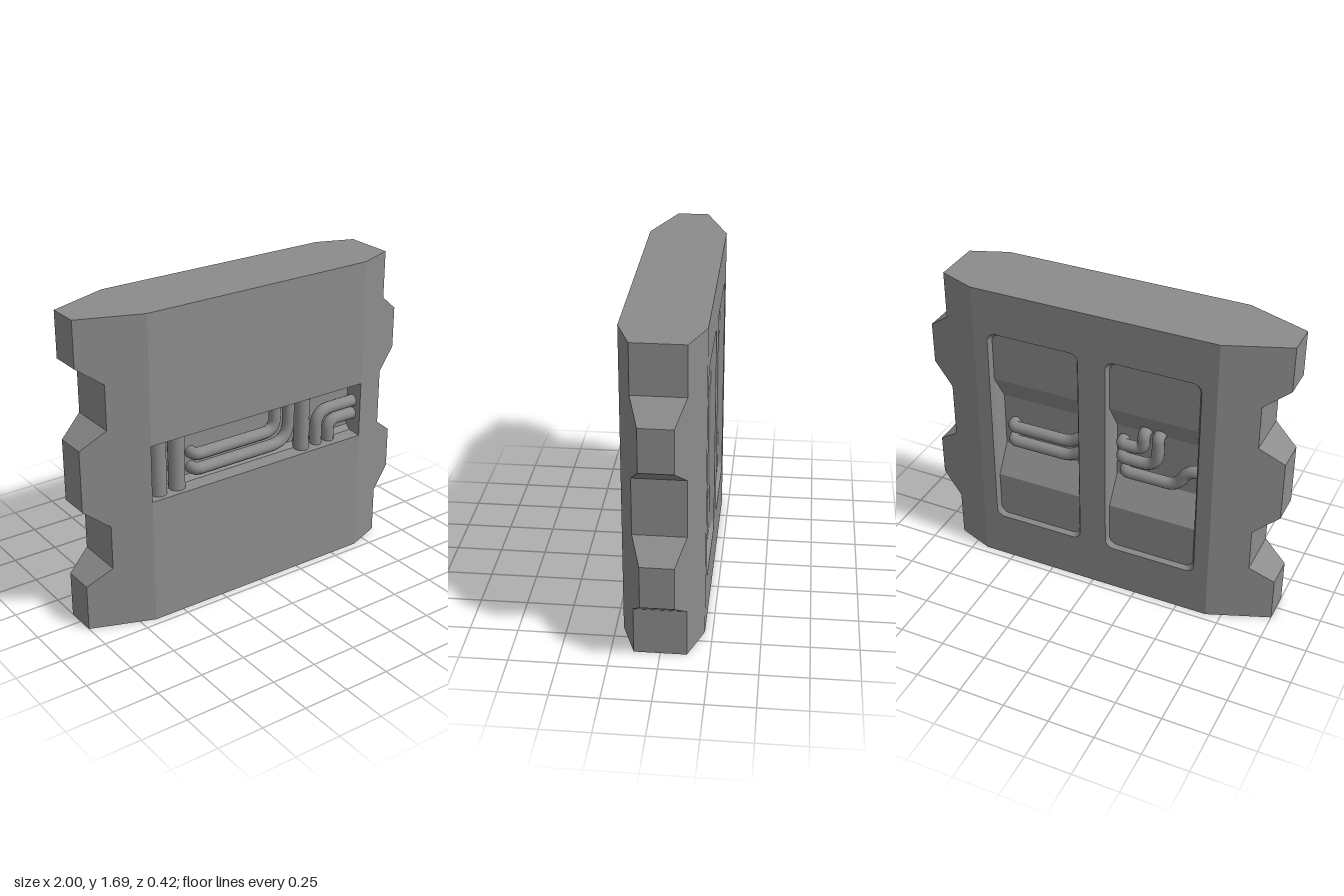
import * as THREE from 'three';

const H = 1.69, HALF = 0.21, FLAT = 0.67;

export function createModel() {
  const group = new THREE.Group();
  const grey = new THREE.MeshStandardMaterial({ color: 0x8c8c8c });
  grey.name = 'panel grey';

  const add = (name, geometry) => {
    const mesh = new THREE.Mesh(geometry, grey);
    mesh.name = name;
    group.add(mesh);
    return mesh;
  };
  const toShape = pts => new THREE.Shape(pts.map(p => new THREE.Vector2(p[0], p[1])));

  // Interlocking edges: outlines whose thickness tapers away from the flat centre
  const halfDepth = x => HALF - 0.379 * Math.max(0, Math.abs(x) - FLAT);
  function taperedEdge(name, pts) {
    const g = new THREE.ExtrudeGeometry(toShape(pts), { depth: 2, bevelEnabled: false });
    g.translate(0, 0, -1);
    const p = g.attributes.position;
    for (let i = 0; i < p.count; i++) p.setZ(i, p.getZ(i) * halfDepth(p.getX(i)));
    g.computeVertexNormals();
    add(name, g);
  }
  taperedEdge('tabbedEdge', [
    [FLAT, 0], [0.87, 0], [0.87, 0.26], [1, 0.36], [1, 0.59], [0.87, 0.69],
    [0.87, 1.0], [1, 1.1], [1, 1.33], [0.87, 1.43], [0.87, H], [FLAT, H]
  ]);
  taperedEdge('notchedEdge', [
    [-FLAT, H], [-1, H], [-1, 1.445], [-0.87, 1.35], [-0.87, 1.11], [-1, 1.015],
    [-1, 0.68], [-0.87, 0.58], [-0.87, 0.34], [-1, 0.25], [-1, 0], [-FLAT, 0]
  ]);

  // Centre block: z-y profiles swept along x, with a pipe slot in the front
  const BACK = -0.185;
  const front = [
    [HALF, 0], [HALF, 0.69], [0.13, 0.695], [0.1, 0.72],
    [0.1, 0.975], [0.13, 0.995], [HALF, 1.0], [HALF, H]
  ];
  const solidBack = [[BACK, H], [BACK, 0]];
  const recessBack = [
    [BACK, H], [BACK, 1.155], [-0.09, 1.0], [-0.09, 0.69], [BACK, 0.535], [BACK, 0]
  ];
  function section(name, x0, x1, back) {
    const shape = toShape([...front, ...back].map(([z, y]) => [-z, y]));
    const g = new THREE.ExtrudeGeometry(shape, { depth: x1 - x0, bevelEnabled: false });
    g.rotateY(Math.PI / 2);
    g.translate(x0, 0, 0);
    add(name, g);
  }
  const W0 = 0.09, W1 = 0.575;
  section('centreRib', -W0, W0, solidBack);
  for (const s of [-1, 1]) {
    const span = (a, b) => (s > 0 ? [a, b] : [-b, -a]);
    section('recessedBay', ...span(W0, W1), recessBack);
    section('sideRib', ...span(W1, FLAT), solidBack);
  }

  // Back frame with two rounded windows, their outer rims flared
  function backFrame() {
    const shape = toShape([[-FLAT, 0], [FLAT, 0], [FLAT, H], [-FLAT, H]]);
    const r = 0.045, y0 = 0.28, y1 = 1.43;
    for (const x0 of [-W1, W0]) {
      const x1 = x0 + W1 - W0, hole = new THREE.Path();
      hole.absarc(x1 - r, y1 - r, r, 0, Math.PI / 2);
      hole.absarc(x0 + r, y1 - r, r, Math.PI / 2, Math.PI);
      hole.absarc(x0 + r, y0 + r, r, Math.PI, Math.PI * 1.5);
      hole.absarc(x1 - r, y0 + r, r, Math.PI * 1.5, Math.PI * 2);
      shape.holes.push(hole);
    }
    const depth = HALF + BACK;
    const g = new THREE.ExtrudeGeometry(shape, { depth, bevelEnabled: false, curveSegments: 5 });
    g.translate(0, 0, -HALF);
    const p = g.attributes.position, mx = (W0 + W1) / 2, my = (y0 + y1) / 2;
    for (let i = 0; i < p.count; i++) {
      const x = p.getX(i), y = p.getY(i);
      if (p.getZ(i) > -HALF + 0.01 || Math.abs(x) > 0.66) continue;
      const cx = Math.sign(x) * mx;
      p.setX(i, cx + (x - cx) * 1.06);
      p.setY(i, my + (y - my) * 1.025);
    }
    g.computeVertexNormals();
    add('backWindowFrame', g);
  }
  backFrame();

  // Pipes: straight runs joined by rounded bends
  function pipe(name, points, radius, bend = 0.06) {
    const v = points.map(p => new THREE.Vector3(...p));
    const path = new THREE.CurvePath();
    let from = v[0];
    for (let i = 1; i < v.length - 1; i++) {
      const a = v[i].clone().sub(v[i - 1]), b = v[i + 1].clone().sub(v[i]);
      const r = Math.min(bend, a.length() * 0.49, b.length() * 0.49);
      const start = v[i].clone().addScaledVector(a.normalize(), -r);
      const end = v[i].clone().addScaledVector(b.normalize(), r);
      path.add(new THREE.LineCurve3(from, start));
      path.add(new THREE.QuadraticBezierCurve3(start, v[i], end));
      from = end;
    }
    path.add(new THREE.LineCurve3(from, v[v.length - 1]));
    add(name, new THREE.TubeGeometry(path, 48, radius, 14));
  }

  // Front slot pipes
  const zf = 0.145;
  for (const x of [-0.595, -0.485, 0.315]) {
    pipe('uprightPipe', [[x, 0.69, zf], [x, 1.0, zf]], 0.044);
  }
  pipe('upperLongPipe', [[-0.37, 0.845, 0.09], [-0.37, 0.845, zf], [0.135, 0.845, zf], [0.135, 1, zf]], 0.033, 0.09);
  pipe('lowerLongPipe', [[-0.37, 0.76, 0.09], [-0.37, 0.76, zf], [0.225, 0.76, zf], [0.225, 1, zf]], 0.033, 0.15);
  pipe('outerElbowPipe', [[0.415, 0.69, zf], [0.415, 0.88, zf], [0.68, 0.88, zf]], 0.033, 0.14);
  pipe('innerElbowPipe', [[0.5, 0.69, zf], [0.5, 0.805, zf], [0.68, 0.805, zf]], 0.033, 0.09);

  // Back bay pipes
  const zb = -0.135;
  for (const y of [0.845, 0.755]) {
    pipe('backLongPipe', [[0.51, y, -0.07], [0.51, y, zb], [0.16, y, zb], [0.08, y + 0.06, zb]], 0.033);
  }
  pipe('backUpperElbow', [[-0.13, 0.92, -0.07], [-0.13, 0.92, zb], [-0.26, 0.92, zb], [-0.26, 1.02, zb], [-0.26, 1.02, -0.07]], 0.033);
  pipe('backLowerElbow', [[-0.13, 0.835, -0.07], [-0.13, 0.835, zb], [-0.34, 0.835, zb], [-0.34, 1.02, zb], [-0.34, 1.02, -0.07]], 0.033, 0.09);
  pipe('backSweepPipe', [[-0.15, 0.75, -0.07], [-0.15, 0.75, zb], [-0.45, 0.75, zb], [-0.51, 0.86, zb], [-0.6, 0.87, zb]], 0.033, 0.08);

  return group;
}
